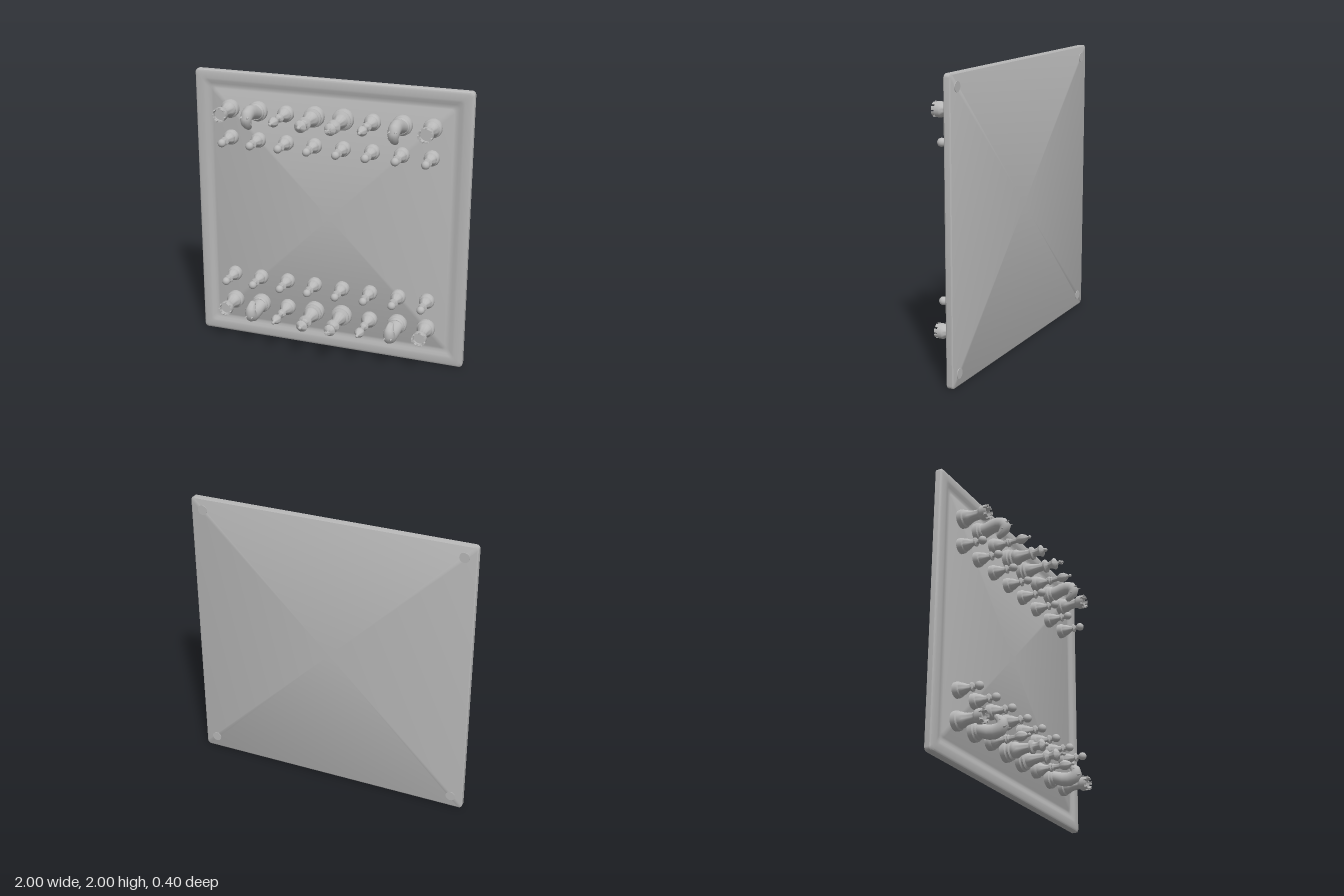
import * as THREE from 'three';
import { toCreasedNormals } from 'three/addons/utils/BufferGeometryUtils.js';

const grey = new THREE.MeshStandardMaterial({ color: 0xb8b8b8 });
grey.name = 'grey';

const PANEL_Z = -0.15;

function addMesh(parent, name, geometry, x = 0, y = 0, z = 0) {
  const mesh = new THREE.Mesh(geometry, grey);
  mesh.name = name;
  mesh.position.set(x, y, z);
  parent.add(mesh);
  return mesh;
}

// Skin a list of closed rings with equal point counts
function loft(rings, crease) {
  const n = rings[0].length;
  const index = [];
  for (let j = 0; j < rings.length - 1; j++) {
    for (let i = 0; i < n; i++) {
      const k = (i + 1) % n;
      const a = j * n + i, b = j * n + k, c = b + n, d = a + n;
      index.push(a, b, c, a, c, d);
    }
  }
  const geometry = new THREE.BufferGeometry().setFromPoints(rings.flat());
  geometry.setIndex(index);
  return toCreasedNormals(geometry, crease);
}

function turned(profile) {
  const points = profile.map(([r, h]) => new THREE.Vector2(r, h));
  return toCreasedNormals(new THREE.LatheGeometry(points, 28), 0.7);
}

// Square ring with rounded corners
function squareRing(half, z) {
  const r = Math.min(0.025, half);
  const ring = [];
  for (let q = 0; q < 4; q++) {
    const mid = (q + 0.5) * Math.PI / 2;
    const cx = Math.sign(Math.cos(mid)) * (half - r);
    const cy = Math.sign(Math.sin(mid)) * (half - r);
    for (let s = 0; s <= 4; s++) {
      const a = (q + s / 4) * Math.PI / 2;
      ring.push(new THREE.Vector3(cx + r * Math.cos(a), cy + r * Math.sin(a), z));
    }
  }
  return ring;
}

// Upright board with a moulded rim around a sunken panel
function buildBoard(group) {
  const profile = [
    [0, -0.196], [0.992, -0.196], [1, -0.19], [1, -0.155], [0.994, -0.147], [0.98, -0.143],
    [0.94, -0.142], [0.925, -0.144], [0.905, -0.152], [0.885, -0.156], [0.87, -0.155],
    [0.86, PANEL_Z], [0, PANEL_Z],
  ];
  addMesh(group, 'board', loft(profile.map(([h, z]) => squareRing(h, z)), 0.6), 0, 1, 0);
  const foot = new THREE.CylinderGeometry(0.034, 0.034, 0.01, 24).rotateX(Math.PI / 2);
  for (const x of [-0.915, 0.915]) {
    for (const y of [0.085, 1.915]) addMesh(group, 'backPad', foot, x, y, -0.195);
  }
}

const ball = (r) => new THREE.SphereGeometry(r, 24, 16);

const pawnBody = turned([
  [0.053, 0], [0.054, 0.02], [0.05, 0.036], [0.042, 0.042], [0.042, 0.052], [0.036, 0.07],
  [0.024, 0.09], [0.018, 0.115], [0.031, 0.12], [0.031, 0.127], [0.016, 0.135], [0.016, 0.16],
]);
const rookBody = turned([
  [0.064, 0], [0.066, 0.02], [0.064, 0.034], [0.054, 0.042], [0.054, 0.056], [0.044, 0.075],
  [0.037, 0.1], [0.034, 0.14], [0.037, 0.152], [0.049, 0.165], [0.051, 0.172], [0.051, 0.2],
  [0.041, 0.2], [0.041, 0.18], [0, 0.18],
]);
const knightBase = turned([
  [0.069, 0], [0.071, 0.02], [0.069, 0.034], [0.06, 0.042], [0.06, 0.052], [0.052, 0.062], [0, 0.066],
]);
const bishopBody = turned([
  [0.057, 0], [0.058, 0.02], [0.056, 0.034], [0.048, 0.042], [0.048, 0.055], [0.034, 0.075],
  [0.022, 0.1], [0.02, 0.122], [0.031, 0.128], [0.031, 0.137], [0.02, 0.144], [0.026, 0.152],
  [0.018, 0.16], [0.017, 0.2], [0.028, 0.215], [0.035, 0.235], [0.033, 0.252], [0.022, 0.274],
  [0.009, 0.288], [0.007, 0.298],
]);
const queenBody = turned([
  [0.072, 0], [0.073, 0.02], [0.071, 0.034], [0.062, 0.042], [0.064, 0.058], [0.05, 0.066],
  [0.057, 0.08], [0.056, 0.095], [0.044, 0.115], [0.036, 0.15], [0.031, 0.195], [0.047, 0.203],
  [0.047, 0.217], [0.031, 0.225], [0.026, 0.24], [0.03, 0.262], [0.043, 0.285], [0.04, 0.29],
  [0.02, 0.3], [0.01, 0.31],
]);
const kingBody = turned([
  [0.074, 0], [0.076, 0.02], [0.074, 0.034], [0.064, 0.042], [0.066, 0.056], [0.05, 0.066],
  [0.05, 0.08], [0.038, 0.11], [0.03, 0.15], [0.027, 0.195], [0.048, 0.202], [0.048, 0.214],
  [0.036, 0.222], [0.024, 0.235], [0.028, 0.255], [0.042, 0.282], [0.04, 0.288], [0.024, 0.298],
  [0.012, 0.306], [0, 0.307],
]);

// Battlement block: an arc extruded upwards
const arc = new THREE.Shape();
arc.absarc(0, 0, 0.051, 0, 0.52, false);
arc.absarc(0, 0, 0.041, 0.52, 0, true);
const merlon = new THREE.ExtrudeGeometry(arc, { depth: 0.02, bevelEnabled: false, curveSegments: 4 })
  .rotateX(-Math.PI / 2);

// Horse neck and head: [forward, height, half depth, half width]
function horseGeometry() {
  const sections = [
    [0, 0.05, 0.048, 0.054], [-0.01, 0.085, 0.046, 0.05], [-0.024, 0.13, 0.049, 0.044],
    [-0.027, 0.17, 0.05, 0.043], [-0.016, 0.205, 0.047, 0.043], [0.008, 0.225, 0.04, 0.04],
    [0.034, 0.218, 0.034, 0.036], [0.056, 0.198, 0.026, 0.029], [0.071, 0.178, 0.021, 0.023],
    [0.077, 0.168, 0.012, 0.014], [0.078, 0.166, 0, 0],
  ];
  const at = (i) => sections[Math.max(0, Math.min(sections.length - 1, i))];
  const rings = sections.map(([f, h, d, w], i) => {
    const [f0, h0] = at(i - 1), [f1, h1] = at(i + 1);
    const t = new THREE.Vector2(h1 - h0, f1 - f0).normalize();
    return Array.from({ length: 20 }, (_, s) => {
      const a = s / 20 * Math.PI * 2;
      const c = d * Math.cos(a);
      return new THREE.Vector3(w * Math.sin(a), h - t.y * c, f + t.x * c);
    });
  });
  return loft(rings, 1.2);
}
const horse = horseGeometry();
const ear = new THREE.ConeGeometry(0.014, 0.045, 10);

// Each builder makes a piece standing along +y and facing +z
const builders = {
  pawn(g) {
    addMesh(g, 'pawnBody', pawnBody);
    addMesh(g, 'pawnHead', ball(0.029), 0, 0.174, 0);
  },
  rook(g) {
    addMesh(g, 'rookBody', rookBody);
    for (let i = 0; i < 8; i++) addMesh(g, 'battlement', merlon, 0, 0.2, 0).rotation.y = i * Math.PI / 4;
  },
  knight(g) {
    addMesh(g, 'knightBase', knightBase);
    addMesh(g, 'horseHead', horse);
    for (const side of [-1, 1]) {
      addMesh(g, 'ear', ear, side * 0.022, 0.251, -0.012).rotation.z = -side * 0.15;
      addMesh(g, 'eye', ball(0.006), side * 0.033, 0.222, 0.036);
    }
  },
  bishop(g) {
    addMesh(g, 'bishopBody', bishopBody);
    addMesh(g, 'bishopFinial', ball(0.012), 0, 0.301, 0);
  },
  queen(g) {
    addMesh(g, 'queenBody', queenBody);
    addMesh(g, 'queenFinial', ball(0.014), 0, 0.316, 0);
  },
  king(g) {
    addMesh(g, 'kingBody', kingBody);
    addMesh(g, 'crossUpright', new THREE.BoxGeometry(0.014, 0.05, 0.014), 0, 0.325, 0);
    addMesh(g, 'crossArm', new THREE.BoxGeometry(0.042, 0.014, 0.014), 0, 0.33, 0);
  },
};

export function createModel() {
  const model = new THREE.Group();
  model.name = 'chessBoard';
  buildBoard(model);

  const place = (kind, x, y) => {
    const piece = new THREE.Group();
    piece.name = kind;
    builders[kind](piece);
    piece.position.set(x, y, PANEL_Z);
    // Lay the piece along +z, facing the middle of the board
    piece.rotation.set(Math.PI / 2, y > 1 ? 0 : Math.PI, 0);
    model.add(piece);
  };
  const rank = ['rook', 'knight', 'bishop', 'queen', 'king', 'bishop', 'knight', 'rook'];
  rank.forEach((kind, i) => {
    const x = (i - 3.5) * 0.209;
    for (const side of [-1, 1]) {
      place(kind, x, 1.005 + side * 0.732);
      place('pawn', x, 1.005 + side * 0.523);
    }
  });
  return model;
}
